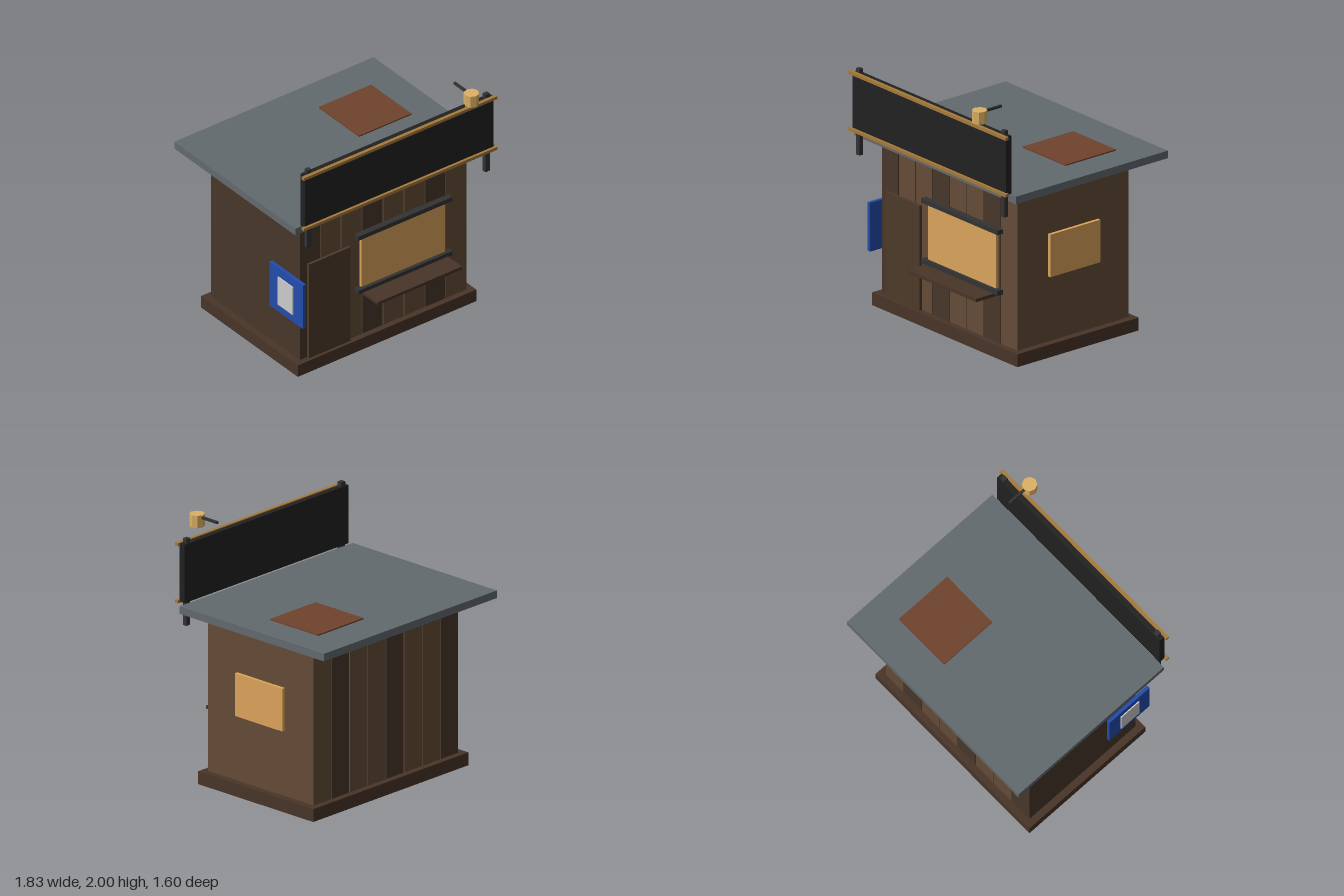
import * as THREE from 'three';

const mat = (color) => new THREE.MeshStandardMaterial({ color, flatShading: true });

const M = {
  plank: mat(0x654b37), darkPlank: mat(0x48372a), base: mat(0x483528), door: mat(0x4d3a29),
  glow: mat(0xdda45c), iron: mat(0x333333), board: mat(0x222121), brass: mat(0xa67a3a),
  roof: mat(0x636a6e), hatch: mat(0x70432c), blue: mat(0x224cac), grey: mat(0xcccccc),
  lamp: mat(0xddb265),
};

export function createModel() {
  const g = new THREE.Group();
  g.name = 'stall';

  // Box given by its extents on each axis
  const box = (name, m, [x0, x1], [y0, y1], [z0, z1]) => {
    const mesh = new THREE.Mesh(new THREE.BoxGeometry(x1 - x0, y1 - y0, z1 - z0), m);
    mesh.position.set((x0 + x1) / 2, (y0 + y1) / 2, (z0 + z1) / 2);
    mesh.name = name;
    g.add(mesh);
    return mesh;
  };

  box('base', M.base, [-0.82, 0.82], [0, 0.1], [-0.605, 0.55]);

  // Body: eight full-depth planks with narrow gaps, every third one dark
  for (let i = 0; i < 8; i++) {
    const x = -0.674 + i * 0.1922;
    box('plank' + (i + 1), i % 3 ? M.plank : M.darkPlank,
      [x - 0.092, x + 0.092], [0.1, 1.305], [-0.555, 0.503]);
  }

  // Roof slab and hatch
  box('roof', M.roof, [-0.915, 0.915], [1.323, 1.382], [-0.802, 0.645]);
  box('roofHatch', M.hatch, [0.19, 0.672], [1.38, 1.392], [-0.513, -0.032]);

  // Door, serving window and shelf
  box('door', M.door, [-0.7, -0.315], [0.1, 0.917], [0.5, 0.525]);
  box('frontWindow', M.glow, [-0.218, 0.55], [0.51, 0.985], [0.5, 0.525]);
  for (const [name, y0, y1] of [['windowLintel', 0.965, 1.0], ['windowSill', 0.491, 0.528]])
    box(name, M.iron, [-0.265, 0.6], [y0, y1], [0.5, 0.553]);
  box('shelf', M.base, [-0.218, 0.557], [0.472, 0.497], [0.5, 0.72]);

  // Side window and hanging notice
  box('sideWindow', M.glow, [0.755, 0.79], [0.608, 0.94], [-0.267, 0.21]);
  box('noticeBoard', M.blue, [-0.812, -0.784], [0.44, 0.82], [0.2, 0.6]);
  box('noticePanel', M.grey, [-0.821, -0.811], [0.507, 0.748], [0.31, 0.49]);

  // Roof sign with posts and trims
  box('signBoard', M.board, [-0.868, 0.865], [1.392, 1.845], [0.645, 0.697]);
  for (const x of [-0.82, 0.817])
    box('signPost', M.iron, [x - 0.02, x + 0.02], [1.206, 1.88], [0.653, 0.688]);
  for (const y of [1.397, 1.839])
    box('signTrim', M.brass, [-0.892, 0.887], [y - 0.012, y + 0.012], [0.69, 0.718]);

  // Lantern on its arm
  const lamp = new THREE.Mesh(new THREE.CylinderGeometry(0.057, 0.057, 0.095, 8), M.lamp);
  lamp.position.set(0.625, 1.9525, 0.745);
  lamp.name = 'lantern';
  g.add(lamp);
  box('lanternArm', M.iron, [0.616, 0.634], [1.971, 1.989], [0.54, 0.72]);

  return g;
}
